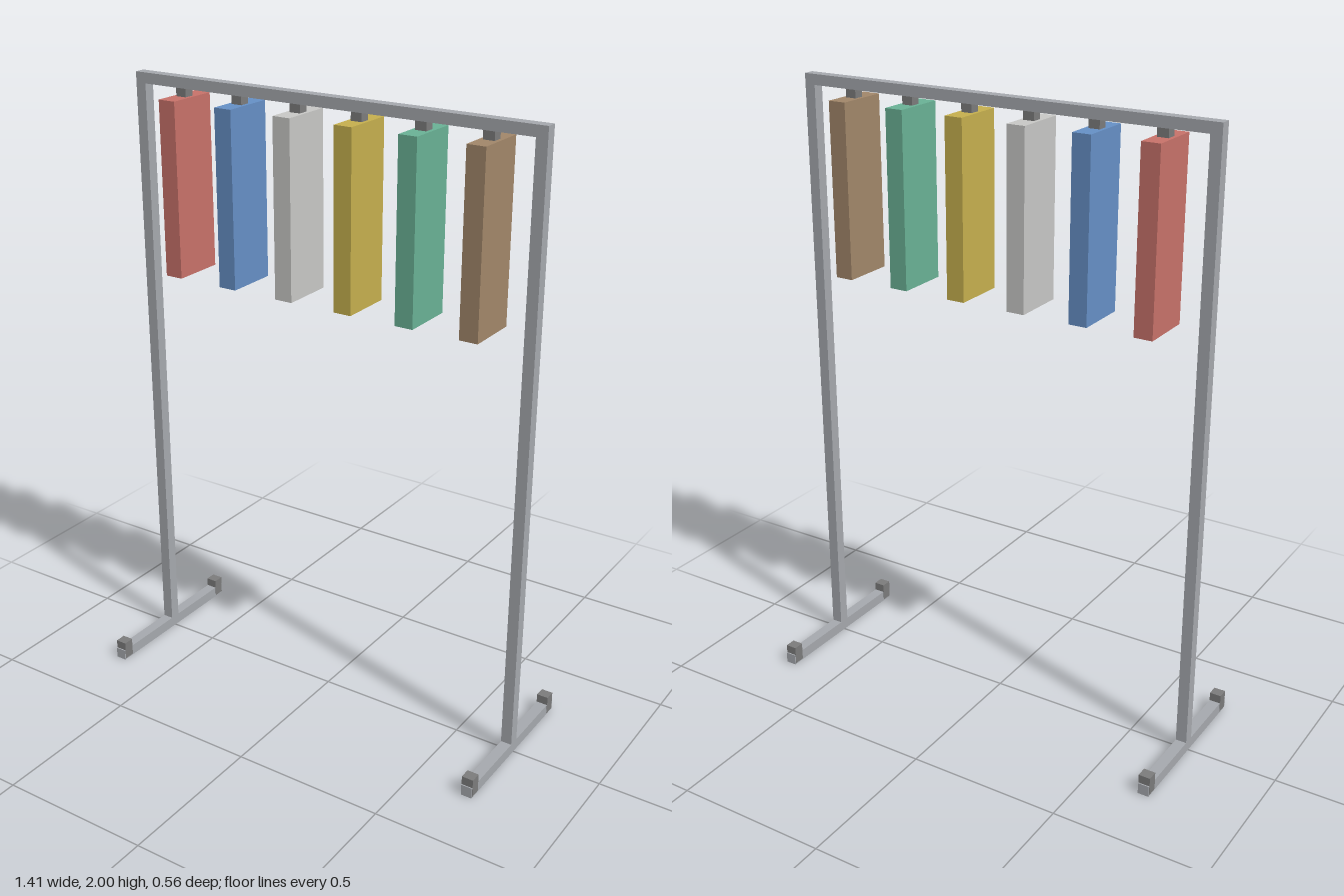
import * as THREE from 'three';

function mat(name, color) {
  const m = new THREE.MeshStandardMaterial({ color });
  m.name = name;
  return m;
}

export function createModel() {
  const rack = new THREE.Group();
  rack.name = 'clothesRack';
  const metal = mat('steel grey', 0xa6a9ae);
  const dark = mat('dark grey', 0x7c7c7c);
  const cloth = [
    mat('red', 0xc8726a), mat('blue', 0x6690c6), mat('pale grey', 0xc8c8c6),
    mat('mustard', 0xc6b04e), mat('green', 0x6ab296), mat('brown', 0xa2876a),
  ];

  function box(name, material, size, pos, parent = rack) {
    const mesh = new THREE.Mesh(new THREE.BoxGeometry(...size), material);
    mesh.name = name;
    mesh.position.set(...pos);
    parent.add(mesh);
  }

  const T = 0.036; // tube thickness
  const X = 0.687; // post centre

  // Top rail between the posts
  box('topRail', metal, [2 * X - T, 0.034, T], [0, 1.983, 0]);

  // Post, foot and end caps on each side
  for (const [side, s] of [['right', -1], ['left', 1]]) {
    const frame = new THREE.Group();
    frame.name = side + 'Frame';
    rack.add(frame);
    box('post', metal, [T, 2 - T, T], [s * X, 1 + T / 2, 0], frame);
    box('foot', metal, [T, T, 0.56], [s * X, T / 2, 0], frame);
    for (const e of [-1, 1]) {
      box('footCap', dark, [T + 0.002, 0.06, 0.036], [s * X, 0.034, e * 0.258], frame);
    }
  }

  // Hanging garments, each with a hanger block under the rail
  cloth.forEach((material, i) => {
    const garment = new THREE.Group();
    garment.name = 'hangingGarment';
    garment.position.x = (i - 2.5) * 0.212;
    rack.add(garment);
    box('garment', material, [0.06, 0.56, 0.175], [0, 1.66, 0], garment);
    box('hanger', dark, [0.036, 0.028, 0.034], [0, 1.953, 0], garment);
  });

  return rack;
}
